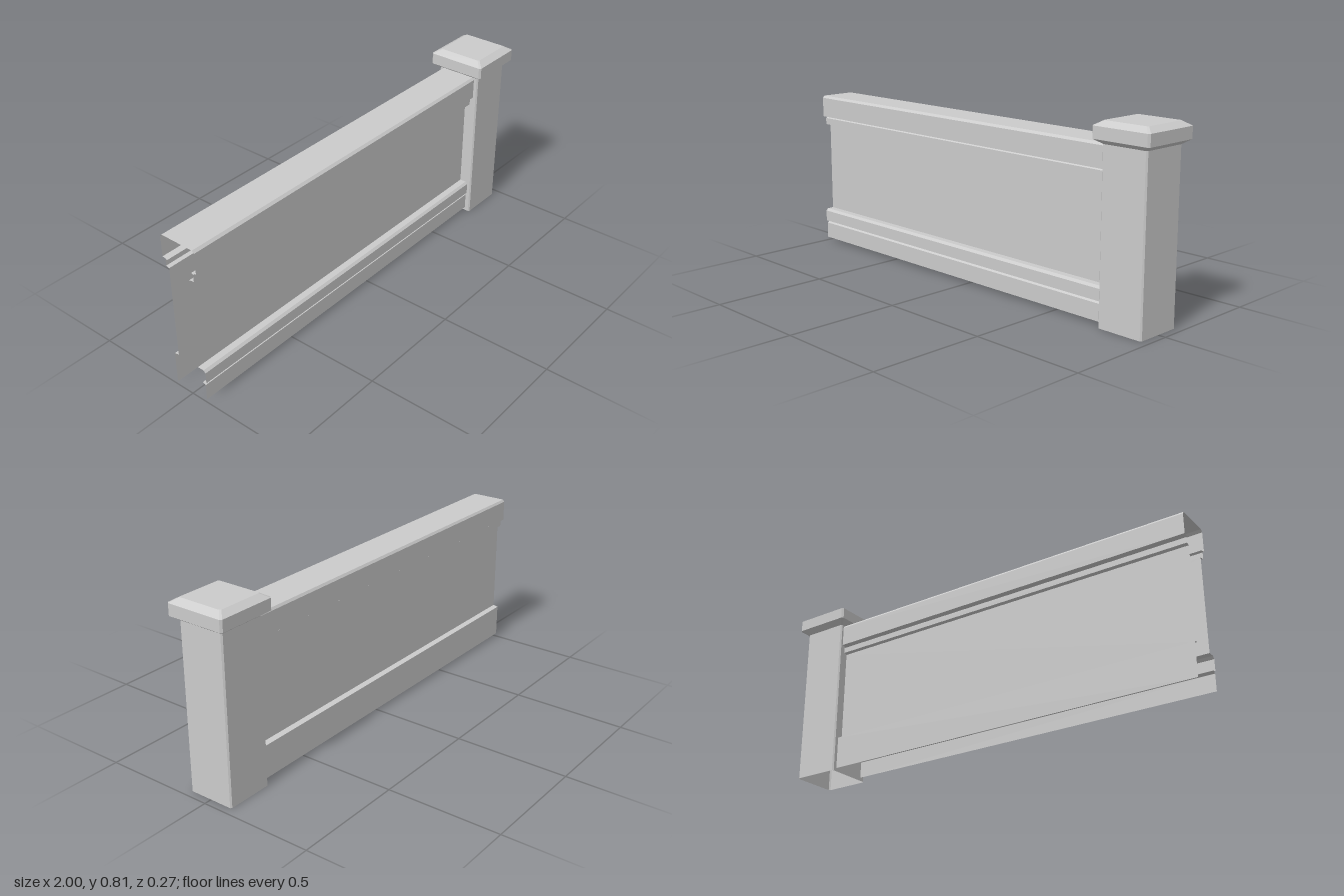
import * as THREE from 'three';

const material = new THREE.MeshStandardMaterial({ color: 0xcccccc, flatShading: true, side: THREE.DoubleSide });

// Skin a sequence of equal-length cross-sections with flat quads
function loft(sections, closed) {
  const pos = [];
  const n = sections[0].length;
  for (let r = 0; r < sections.length - 1; r++) {
    for (let i = 0; i < (closed ? n : n - 1); i++) {
      const j = (i + 1) % n;
      const a = sections[r][i], b = sections[r][j];
      const c = sections[r + 1][j], d = sections[r + 1][i];
      pos.push(...a, ...b, ...c, ...a, ...c, ...d);
    }
  }
  const geometry = new THREE.BufferGeometry();
  geometry.setAttribute('position', new THREE.Float32BufferAttribute(pos, 3));
  geometry.computeVertexNormals();
  return geometry;
}

// Square ring with chamfered corners, counter-clockwise from above
function ring(cx, y, half, chamfer) {
  const k = half - chamfer;
  return [[-k, half], [k, half], [half, k], [half, -k], [k, -half], [-k, -half], [-half, -k], [-half, k]]
    .map(([x, z]) => [cx + x, y, z]);
}

export function createModel() {
  const group = new THREE.Group();
  const add = (name, geometry) => {
    const mesh = new THREE.Mesh(geometry, material);
    mesh.name = name;
    group.add(mesh);
  };

  // Hollow wall section as [z, y]: up the back, over the top, down the front
  const profile = [
    [-0.083, 0.015], [-0.083, 0.16], [-0.06, 0.165],   // plain back skirting
    [-0.06, 0.58], [-0.075, 0.585], [-0.075, 0.61],    // back panel and band
    [-0.065, 0.615], [-0.09, 0.62], [-0.09, 0.71],     // groove and back of rail
    [-0.083, 0.72], [0.075, 0.72], [0.085, 0.71],      // rail top
    [0.085, 0.62], [0.06, 0.615], [0.07, 0.61],        // front of rail and groove
    [0.07, 0.58], [0.045, 0.575],                      // front band
    [0.045, 0.16], [0.075, 0.16], [0.085, 0.15],       // front panel and ledge
    [0.085, 0.1], [0.065, 0.095], [0.08, 0.088], [0.08, 0.015], // front skirting
  ];
  add('wallPanel', loft([-1, 0.765].map((x) => profile.map(([z, y]) => [x, y, z])), false));

  // Hollow end post, open at the bottom
  const postX = 0.861;
  add('post', loft([ring(postX, 0, 0.105, 0.006), ring(postX, 0.725, 0.105, 0.006)], true));

  // Bevelled post cap; the last ring closes the top
  const capRings = [
    [0.72, 0.104, 0.006], [0.74, 0.134, 0.008], [0.79, 0.134, 0.008],
    [0.81, 0.102, 0.006], [0.81, 0, 0],
  ];
  add('postCap', loft(capRings.map(([y, half, chamfer]) => ring(postX, y, half, chamfer)), true));

  return group;
}
